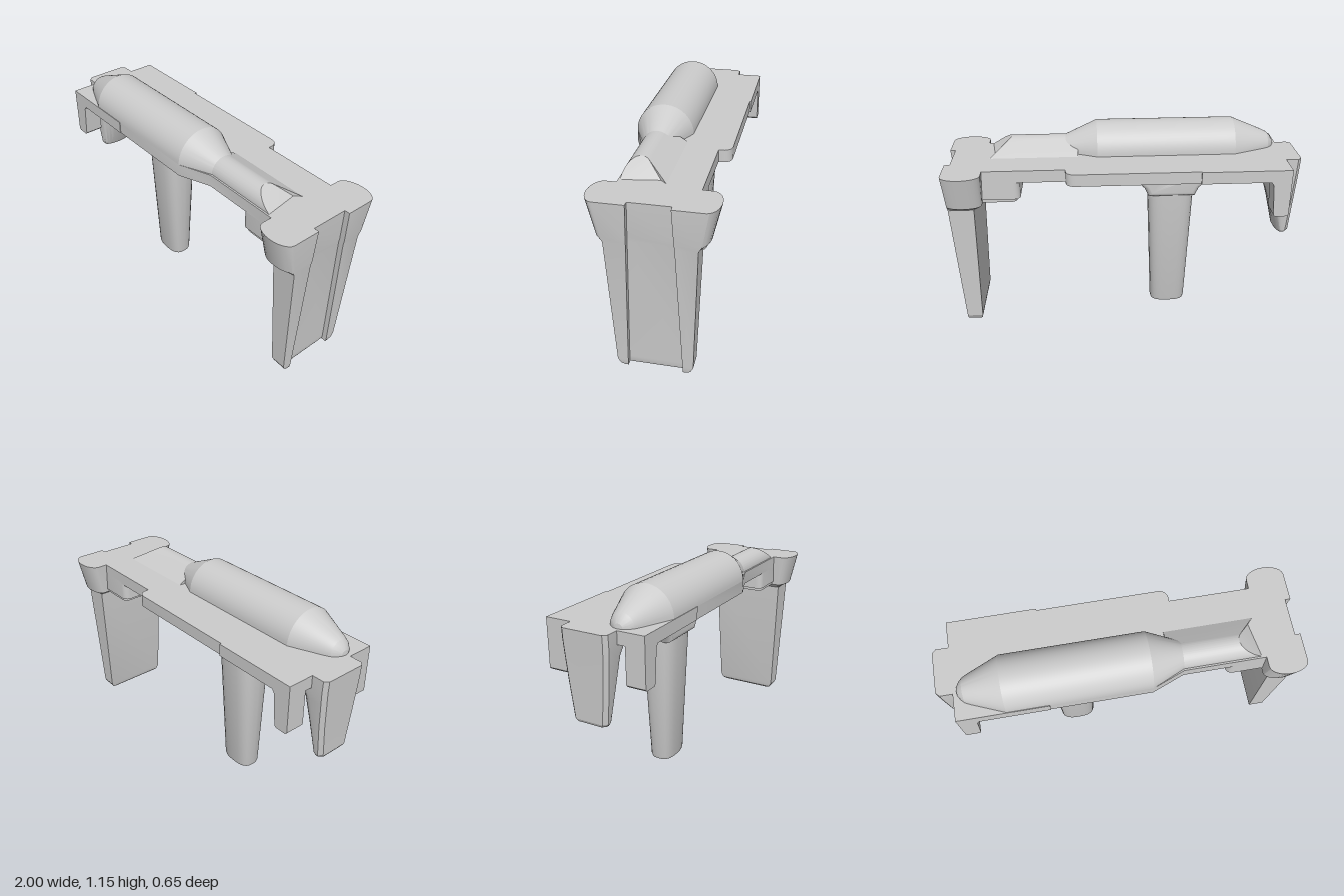
import * as THREE from 'three';
import { toCreasedNormals } from 'three/addons/utils/BufferGeometryUtils.js';

const material = new THREE.MeshStandardMaterial({ color: 0xcccccc, side: THREE.DoubleSide });

function part(group, name, geometry, crease = 0.4) {
  const mesh = new THREE.Mesh(toCreasedNormals(geometry, crease), material);
  mesh.name = name;
  group.add(mesh);
  return mesh;
}

// Horizontal slab from a plan outline of [x, z] points, with optional holes
function slab(outline, y0, y1, holes = []) {
  const flat = (pts) => pts.map(([x, z]) => new THREE.Vector2(x, -z));
  const shape = new THREE.Shape(flat(outline));
  holes.forEach((h) => shape.holes.push(new THREE.Path(flat(h))));
  return new THREE.ExtrudeGeometry(shape, { depth: y1 - y0, bevelEnabled: false })
    .rotateX(-Math.PI / 2).translate(0, y0, 0);
}

// Rounded rectangle in plan
function roundRect(x0, x1, z0, z1, r) {
  const pts = [];
  const corners = [[x1 - r, z1 - r], [x0 + r, z1 - r], [x0 + r, z0 + r], [x1 - r, z0 + r]];
  corners.forEach(([cx, cz], q) => {
    for (let i = 0; i <= 5; i++) {
      const a = (q + i / 5) * Math.PI / 2;
      pts.push([cx + r * Math.cos(a), cz + r * Math.sin(a)]);
    }
  });
  return pts;
}

// Closed solid through plan sections, listed upwards; each is { y, pts: [x, z] }
// running counter-clockwise as seen from above
function loft(sections) {
  const n = sections[0].pts.length, pos = [], index = [];
  sections.forEach(({ y, pts }) => pts.forEach(([x, z]) => pos.push(x, y, z)));
  for (let i = 0; i < sections.length - 1; i++) {
    for (let j = 0; j < n; j++) {
      const a = i * n + j, b = i * n + (j + 1) % n;
      index.push(a, b, a + n, b, b + n, a + n);
    }
  }
  const cap = (s) => THREE.ShapeUtils.triangulateShape(s.pts.map(([x, z]) => new THREE.Vector2(x, -z)), []);
  const top = (sections.length - 1) * n;
  cap(sections[0]).forEach(([a, b, c]) => index.push(c, b, a));
  cap(sections[sections.length - 1]).forEach(([a, b, c]) => index.push(top + a, top + b, top + c));
  const g = new THREE.BufferGeometry();
  g.setAttribute('position', new THREE.Float32BufferAttribute(pos, 3));
  g.setIndex(index);
  return g;
}

// End leg section: bulging sides and a channel in the outer face
function endLegSection([y, x0, x1, w, bulge, channel]) {
  const side = [], depth = 0.03;
  for (let i = 0; i <= 12; i++) {
    const a = Math.PI * (1 - i / 12);
    side.push([(x0 + x1) / 2 + (x1 - x0) / 2 * Math.cos(a), w + bulge * Math.sin(a)]);
  }
  const notch = [[x1, channel], [x1 - depth, channel]];
  const half = [...side, ...notch];
  return { y, pts: [...half, ...half.map(([x, z]) => [x, -z]).reverse()] };
}

// Middle leg section: soft-cornered oval
function oval([y, hx, hz]) {
  const pts = [];
  for (let i = 0; i < 24; i++) {
    const a = i / 24 * Math.PI * 2, c = Math.cos(a), s = Math.sin(a);
    pts.push([-0.275 + hx * Math.sign(c) * Math.abs(c) ** 0.7, 0.01 - hz * Math.sign(s) * Math.abs(s) ** 0.7]);
  }
  return { y, pts };
}

// Hook section: flat outer face, inner face rounded
function hookSection([y, x0, x1, w]) {
  const pts = [[x0, -w + 0.02], [x0, w - 0.02], [x0 + 0.02, w]];
  for (let i = 0; i <= 12; i++) {
    const a = Math.PI * (0.5 - i / 12);
    const start = x0 + (x1 - x0) * 0.5;
    pts.push([start + (x1 - start) * Math.cos(a), w * Math.sin(a)]);
  }
  pts.push([x0 + 0.02, -w]);
  return { y, pts };
}

export function createModel() {
  const model = new THREE.Group();

  // Deck, open underneath into the hollow bottle
  const step = [];
  for (let i = 0; i <= 6; i++) {
    const a = i / 6 * Math.PI / 2;
    step.push([0.28 + 0.05 * Math.cos(a), -0.23 - 0.05 * Math.sin(a)]);
  }
  const outline = [[-0.91, 0.283], [-0.41, 0.283], [-0.41, 0.28], [0.15, 0.28], [0.33, 0.21], [0.8, 0.21],
    [0.8, -0.21], [0.33, -0.21], ...step, [-0.41, -0.28], [-0.41, -0.29], [-0.91, -0.29]];
  const pockets = [roundRect(-0.01, 0.28, 0.05, 0.19, 0.06), roundRect(-0.74, -0.57, 0.06, 0.18, 0.03)];
  part(model, 'deck', slab(outline, 0.92, 0.99, pockets));

  // Half bottle lying on the deck
  const profile = [[0, -0.89], [0.025, -0.885], [0.05, -0.87], [0.07, -0.85], [0.085, -0.82], [0.16, -0.64],
    [0.16, 0.15], [0.08, 0.33], [0.08, 0.36]].map(([r, x]) => new THREE.Vector2(r, x));
  const bottle = new THREE.LatheGeometry(profile, 28, Math.PI, Math.PI);
  part(model, 'bottleBody', bottle.rotateZ(-Math.PI / 2).translate(0, 0.99, 0.12), 0.3);

  // Neck with a ramp on its back side and a slanted end
  const neckShape = new THREE.Shape();
  neckShape.moveTo(-0.2, 0.96);
  neckShape.lineTo(-0.2, 0.99);
  neckShape.absarc(-0.12, 0.99, 0.08, Math.PI, Math.PI / 3, true);
  neckShape.lineTo(0.03, 0.99);
  neckShape.lineTo(0.03, 0.96);
  const neck = new THREE.ExtrudeGeometry(neckShape, { depth: 0.5, bevelEnabled: false, curveSegments: 16 });
  neck.rotateY(Math.PI / 2).translate(0.26, 0, 0);
  const p = neck.attributes.position;
  for (let i = 0; i < p.count; i++) {
    if (p.getX(i) > 0.5) p.setX(i, 0.76 - Math.max(0, p.getY(i) - 0.99) * 1.5);
  }
  part(model, 'bottleNeck', neck, 0.3);

  // Channelled end leg with its wide collar
  part(model, 'endLeg', loft([
    [0, 0.885, 0.95, 0.165, 0, 0.145], [0.012, 0.872, 0.954, 0.185, 0, 0.145],
    [0.04, 0.866, 0.956, 0.2, 0, 0.144], [0.77, 0.842, 0.985, 0.23, 0, 0.117],
    [0.8, 0.795, 0.99, 0.235, 0.045, 0.115], [0.99, 0.785, 1, 0.265, 0.06, 0.107],
  ].map(endLegSection)));

  // Hollow bracket between the deck and the end leg
  part(model, 'bracket', slab(roundRect(0.585, 0.86, -0.21, 0.21, 0.035), 0.82, 0.93,
    [roundRect(0.64, 0.83, -0.15, 0.15, 0.03)]));
  part(model, 'bracketLip', slab(roundRect(0.605, 0.86, -0.2, 0.2, 0.03), 0.8, 0.82,
    [roundRect(0.64, 0.83, -0.15, 0.15, 0.03)]));

  // Middle leg and its flared head with a cross hole
  part(model, 'middleLeg', loft([
    [0, 0.09, 0.055], [0.008, 0.102, 0.067], [0.025, 0.106, 0.072], [0.81, 0.136, 0.11],
  ].map(oval)), 0.6);
  const flare = new THREE.Shape([[-0.13, 0.78], [0.13, 0.78], [0.15, 0.82], [0.25, 0.91], [0.25, 0.93],
    [-0.25, 0.93], [-0.25, 0.91], [-0.15, 0.82]].map(([x, y]) => new THREE.Vector2(x * 0.92, y)));
  const hole = new THREE.Path();
  hole.absarc(0, 0.88, 0.036, 0, Math.PI * 2, true);
  flare.holes.push(hole);
  const head = new THREE.ExtrudeGeometry(flare, {
    depth: 0.16, bevelSize: 0.03, bevelOffset: -0.006, bevelThickness: 0.04, bevelSegments: 5, curveSegments: 20,
  });
  // The bevel must not rise through the deck
  const hp = head.attributes.position;
  for (let i = 0; i < hp.count; i++) hp.setY(i, Math.min(hp.getY(i), 0.94));
  part(model, 'middleLegHead', head.translate(-0.275, 0, -0.07), 0.6);

  // Hook at the other end
  part(model, 'hook', loft([
    [0.5, -0.975, -0.915, 0.09], [0.515, -0.982, -0.905, 0.1], [0.71, -0.988, -0.855, 0.12],
    [0.85, -0.994, -0.81, 0.13], [0.925, -0.997, -0.74, 0.135], [0.99, -1, -0.74, 0.135],
  ].map(hookSection)).translate(0, 0, -0.005));

  // Corner lugs on both sides of the hook
  const lugShape = new THREE.Shape([[-0.91, 0.72], [-0.9, 0.71], [-0.835, 0.71], [-0.825, 0.72], [-0.81, 0.9],
    [-0.79, 0.93], [-0.91, 0.93]].map(([x, y]) => new THREE.Vector2(x, y)));
  for (const z of [-0.29, 0.173]) {
    const lug = new THREE.ExtrudeGeometry(lugShape, { depth: 0.11, bevelEnabled: false });
    part(model, z > 0 ? 'frontLug' : 'backLug', lug.translate(0, 0, z));
  }
  return model;
}
